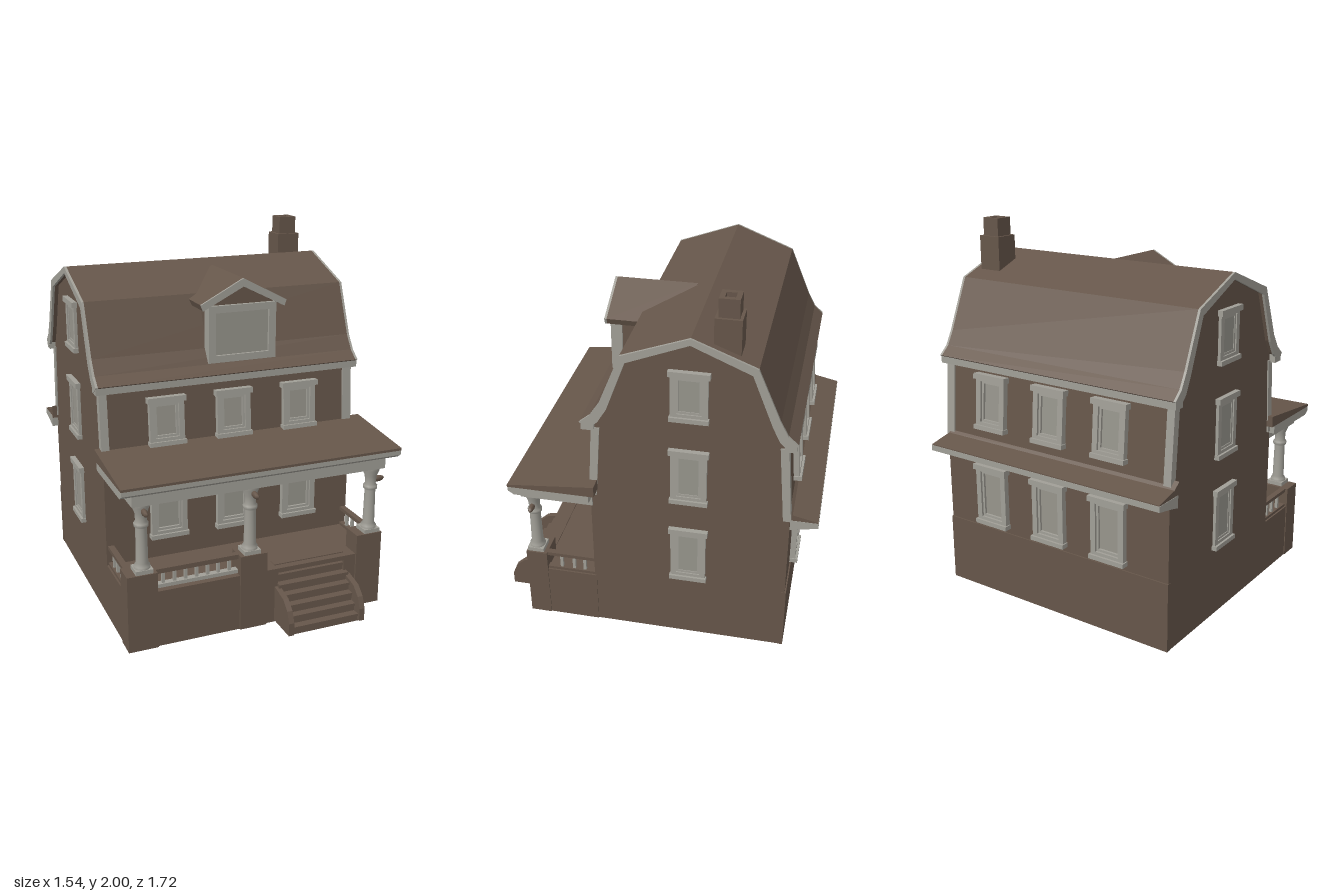
import * as THREE from 'three';

const mat = (name, color, side = THREE.FrontSide) => {
  const m = new THREE.MeshStandardMaterial({ color, side });
  m.name = name;
  return m;
};

export function createModel() {
  const brown = mat('brown', 0x66564a);
  const trim = mat('pale trim', 0xa19f97);
  const glass = mat('window glass', 0x97958c);
  const house = new THREE.Group();
  house.name = 'house';

  const add = (name, geo, material, parent = house) => {
    const m = new THREE.Mesh(geo, material);
    m.name = name;
    parent.add(m);
    return m;
  };
  // box from its limits
  const box = (name, material, x0, x1, y0, y1, z0, z1, parent = house) => {
    const g = new THREE.BoxGeometry(x1 - x0, y1 - y0, z1 - z0);
    g.translate((x0 + x1) / 2, (y0 + y1) / 2, (z0 + z1) / 2);
    return add(name, g, material, parent);
  };
  // [z, y] cross-section swept along x
  const sweepX = (name, material, pts, x0, x1) => {
    const shape = new THREE.Shape(pts.map(([z, y]) => new THREE.Vector2(-z, y)));
    const g = new THREE.ExtrudeGeometry(shape, { depth: x1 - x0, bevelEnabled: false });
    g.rotateY(Math.PI / 2).translate(x0, 0, 0);
    return add(name, g, material);
  };
  // [x, y] cross-section swept along z
  const sweepZ = (name, material, pts, z0, z1) => {
    const shape = new THREE.Shape(pts.map(([x, y]) => new THREE.Vector2(x, y)));
    const g = new THREE.ExtrudeGeometry(shape, { depth: z1 - z0, bevelEnabled: false });
    g.translate(0, 0, z0);
    return add(name, g, material);
  };
  // rectangular ring, centred, facing +z
  const ring = (w, h, w2, h2, depth) => {
    const rect = (C, a, b) => new C([[-a, -b], [a, -b], [a, b], [-a, b]].map(([x, y]) => new THREE.Vector2(x / 2, y / 2)));
    const s = rect(THREE.Shape, w, h);
    s.holes.push(rect(THREE.Path, w2, h2));
    return new THREE.ExtrudeGeometry(s, { depth, bevelEnabled: false });
  };

  // gambrel roof line, front eave to back eave
  const roofLine = [[0.345, 1.3], [0.29, 1.345], [0.24, 1.42], [0.13, 1.69], [-0.21, 1.815],
    [-0.53, 1.69], [-0.645, 1.42], [-0.685, 1.345], [-0.735, 1.3]];
  const inset = (k) => roofLine.map(([z, y]) => [-0.2 + (z + 0.2) * (1 - 0.07 * k), y - 0.03 * k]);
  const band = (k) => [...roofLine, ...inset(k).reverse()];

  // main body and roof
  sweepX('walls', brown, [[0.31, 0], [0.31, 0.8], [0.28, 1.27], ...inset(0.6).slice(1, -1),
    [-0.685, 1.27], [-0.72, 0.8], [-0.72, 0]], -0.735, 0.69);
  sweepX('roof', brown, band(1), -0.757, 0.692);
  sweepX('gableTrim', trim, band(1.15), -0.77, -0.757);
  sweepX('gableTrim', trim, band(1.15), 0.692, 0.705);
  box('frontEaveTrim', trim, -0.768, 0.703, 1.258, 1.303, 0.27, 0.337);
  box('backEaveTrim', trim, -0.768, 0.703, 1.258, 1.303, -0.728, -0.67);
  box('backFoundation', brown, -0.737, 0.692, 0, 0.37, -0.727, -0.7);

  // corner boards following the leaning upper walls
  for (const [x0, x1] of [[-0.742, -0.7], [0.645, 0.697]]) {
    sweepX('frontCornerBoard', trim, [[0.315, 0.86], [0.288, 1.27], [0.245, 1.27], [0.275, 0.86]], x0, x1);
    sweepX('backCornerBoard', trim, [[-0.725, 0.84], [-0.692, 1.27], [-0.65, 1.27], [-0.685, 0.84]], x0, x1);
  }

  // windows
  const addWindow = (x, y, z, w, h, turn = 0, lean = 0, d = 0.03) => {
    const g = new THREE.Group();
    g.name = 'window';
    const a = w / 2, b = h / 2;
    add('frame', ring(w, h, w - 0.06, h - 0.07, d), trim, g);
    add('sash', ring(w - 0.058, h - 0.068, w - 0.085, h - 0.095, d * 0.6), trim, g);
    box('pane', glass, -a + 0.03, a - 0.03, -b + 0.03, b - 0.03, -0.002, 0.006, g);
    box('sill', trim, -a - 0.006, a + 0.006, -b - 0.006, -b + 0.018, 0, d + 0.012, g);
    box('head', trim, -a - 0.01, a + 0.01, b - 0.025, b + 0.004, 0, d + 0.012, g);
    g.rotation.order = 'YXZ';
    g.rotation.set(-lean, turn, 0);
    g.position.set(x, y, z);
    house.add(g);
  };
  for (const x of [-0.39, -0.015, 0.37]) {
    addWindow(x, 1.075, 0.292, 0.19, 0.25, 0, 0.064);
    addWindow(x, 0.575, 0.31, 0.2, 0.28);
    addWindow(x, 1.085, -0.699, 0.19, 0.29, Math.PI, 0.074);
    addWindow(x, 0.57, -0.72, 0.2, 0.33, Math.PI);
  }
  for (const [y, h] of [[1.505, 0.265], [1.04, 0.31], [0.548, 0.32]]) {
    addWindow(0.69, y, -0.205, 0.185, h, Math.PI / 2, 0, 0.016);
    addWindow(-0.735, y, -0.205, 0.185, h, -Math.PI / 2, 0, 0.016);
  }

  // dormer
  box('dormerWalls', brown, -0.14, 0.22, 1.36, 1.665, 0, 0.275);
  sweepZ('dormerGable', brown, [[-0.15, 1.65], [0.23, 1.65], [0.035, 1.76]], -0.1, 0.278);
  const dormerRoof = [[-0.2, 1.665], [0.035, 1.788], [0.28, 1.66], [0.268, 1.628], [0.035, 1.745], [-0.187, 1.633]];
  sweepZ('dormerRoof', brown, dormerRoof, -0.12, 0.305);
  sweepZ('dormerRoofTrim', trim, dormerRoof, 0.305, 0.317);
  const dormerFrame = add('dormerFrame', ring(0.38, 0.3, 0.3, 0.225, 0.06), trim);
  dormerFrame.position.set(0.04, 1.5, 0.238);
  box('dormerPane', glass, -0.115, 0.195, 1.38, 1.62, 0.277, 0.283);

  // chimney with an open top
  box('chimneyBase', brown, 0.535, 0.645, 1.6, 1.9, -0.43, -0.32);
  box('chimneyCollar', brown, 0.525, 0.655, 1.7, 1.905, -0.44, -0.31);
  const flue = add('chimneyTop', ring(0.1, 0.1, 0.05, 0.05, 0.1).rotateX(-Math.PI / 2), brown);
  flue.position.set(0.59, 1.9, -0.375);

  // back awning
  sweepX('awningRoof', brown, [[-0.69, 0.9], [-0.73, 0.868], [-0.86, 0.84], [-0.86, 0.825], [-0.69, 0.825]], -0.768, 0.675);
  sweepX('awningTrim', trim, [[-0.7, 0.835], [-0.862, 0.835], [-0.862, 0.805], [-0.76, 0.785], [-0.7, 0.77]], -0.77, 0.677);

  // porch roof
  sweepX('porchRoof', brown, [[0.27, 0.955], [0.732, 0.908], [0.732, 0.895], [0.27, 0.895]], -0.77, 0.768);
  sweepX('porchCornice', trim, [[0.3, 0.9], [0.73, 0.9], [0.73, 0.87], [0.7, 0.85], [0.3, 0.85]], -0.768, 0.766);
  box('porchFrieze', trim, -0.705, 0.7, 0.79, 0.855, 0.3, 0.69);

  // hollow porch base
  box('porchFloor', brown, -0.735, 0.695, 0.285, 0.31, 0.3, 0.68);
  box('porchSideWall', brown, -0.735, -0.7, 0, 0.31, 0.3, 0.66);
  box('porchSideWall', brown, 0.66, 0.695, 0, 0.31, 0.3, 0.66);
  for (const [x0, x1] of [[-0.6, -0.1], [0, 0.09], [0.48, 0.58]])
    box('porchFrontWall', brown, x0, x1, 0, 0.31, 0.645, 0.68);

  // piers, columns and their small hanging knobs
  const columnProfile = [[0.042, 0.44], [0.042, 0.455], [0.032, 0.47], [0.029, 0.66], [0.038, 0.67],
    [0.038, 0.685], [0.029, 0.695], [0.032, 0.74], [0.046, 0.775], [0.046, 0.795]]
    .map(([r, y]) => new THREE.Vector2(r, y));
  for (const [x0, x1, cx] of [[-0.74, -0.58, -0.645], [-0.13, 0.02, -0.06], [0.55, 0.7, 0.645]]) {
    box('pier', brown, x0, x1, 0, 0.42, 0.575, 0.69);
    box('columnPlinth', trim, cx - 0.046, cx + 0.046, 0.415, 0.442, 0.594, 0.684);
    add('column', new THREE.LatheGeometry(columnProfile, 16), trim).position.set(cx, 0, 0.64);
    const knob = new THREE.SphereGeometry(0.018, 8, 6).scale(0.8, 1, 2.4);
    const k = add('knob', knob, brown);
    if (cx > 0.5) { k.rotation.y = Math.PI / 2; k.position.set(0.685, 0.715, 0.64); }
    else k.position.set(cx, 0.76, 0.7);
  }

  // railings
  box('frontTopRail', brown, -0.58, -0.13, 0.395, 0.42, 0.62, 0.655);
  box('frontBottomRail', trim, -0.58, -0.13, 0.315, 0.335, 0.62, 0.655);
  for (let i = 0; i < 7; i++) {
    const x = -0.535 + i * 0.06;
    box('baluster', trim, x - 0.008, x + 0.008, 0.33, 0.4, 0.63, 0.646);
  }
  for (const x of [-0.71, 0.67]) {
    box('sideTopRail', brown, x - 0.016, x + 0.016, 0.4, 0.42, 0.31, 0.58);
    box('sideBottomRail', brown, x - 0.016, x + 0.016, 0.31, 0.325, 0.31, 0.58);
    for (const z of [0.37, 0.43, 0.5])
      box('sideBaluster', trim, x - 0.008, x + 0.008, 0.32, 0.405, z - 0.008, z + 0.008);
  }

  // front steps and their curved cheeks
  for (let i = 0; i < 7; i++) {
    const y = 0.045 * (i + 1), z = 0.845 - i * 0.034;
    box('riser', brown, 0.085, 0.495, y - 0.045, y - 0.01, z - 0.034, z - 0.008);
    box('tread', brown, 0.085, 0.495, y - 0.014, y, z - 0.05, z);
  }
  for (const x of [0.07, 0.485])
    sweepX('stepCheek', brown, [[0.67, 0.01], [0.86, 0.01], [0.86, 0.08], [0.835, 0.14], [0.785, 0.185], [0.67, 0.21]], x, x + 0.03);

  return house;
}
